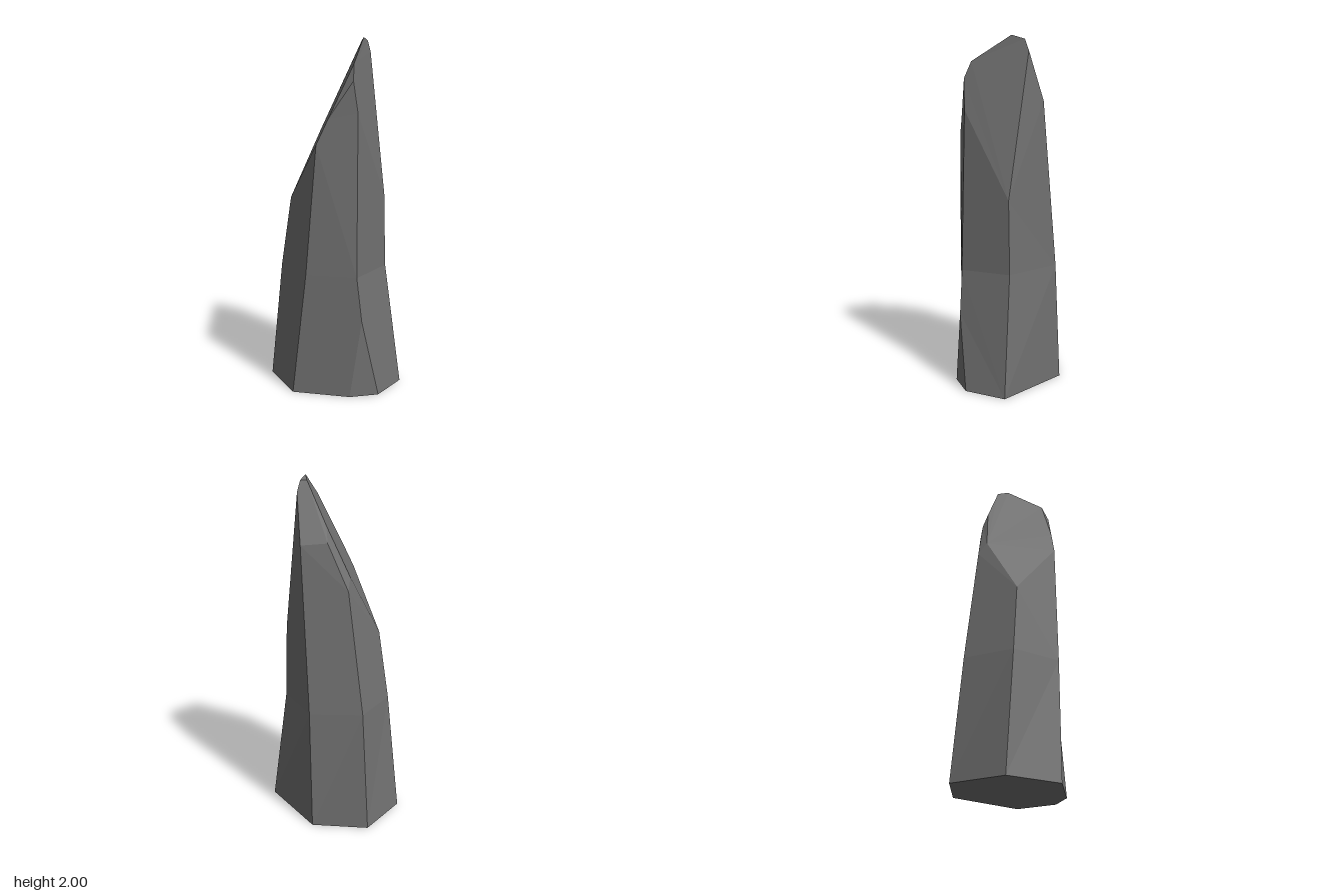
import * as THREE from 'three';

export function createModel() {
  const stone = new THREE.MeshStandardMaterial({ color: 0x707070, flatShading: true });
  stone.name = 'grey stone';

  // Vertical ridges of the pillar, each listed from the base upward
  const left = [[-0.39, 0, -0.025], [-0.315, 0.7, 0.015], [-0.255, 1.1, 0.035]];
  const frontA = [[-0.225, 0, 0.26], [-0.145, 0.7, 0.265], [-0.085, 1.43, 0.26], [-0.02, 1.57, 0.25]];
  const frontB = [[0.265, 0, 0.255], [0.17, 0.44, 0.28], [0.14, 0.69, 0.265],
    [0.14, 1.6, 0.24], [0.115, 1.77, 0.24], [0.115, 1.86, 0.2]];
  const right = [[0.385, 0, 0.04], [0.29, 0.7, 0.005], [0.28, 1.12, 0.01],
    [0.19, 1.92, -0.105], [0.175, 1.98, -0.085], [0.155, 2, -0.015]];
  const backB = [[0.1, 0, -0.31], [0.115, 0.7, -0.275], [0.165, 1.65, -0.19]];
  const backA = [[-0.225, 0, -0.31], [-0.185, 0.7, -0.255], [-0.095, 1.4, -0.19], [-0.1, 1.47, -0.14]];

  // Extra corners: front base corner and the chipped back rim
  const frontFoot = [0.105, 0, 0.305];
  const chipLow = [0.02, 1.66, -0.17];
  const chipHigh = [0.03, 1.75, -0.14];
  const tip = [0.14, 1.98, -0.08];

  const positions = [];
  const tri = (a, b, c) => positions.push(...a, ...b, ...c);

  // Fill between two ridges (a on the left, b on the right, seen from outside)
  const strip = (a, b) => {
    let i = 0, j = 0;
    while (i < a.length - 1 || j < b.length - 1) {
      const nextA = i < a.length - 1 ? a[i + 1][1] : Infinity;
      const nextB = j < b.length - 1 ? b[j + 1][1] : Infinity;
      if (nextA < nextB) {
        tri(a[i], b[j], a[i + 1]);
        i++;
      } else {
        tri(a[i], b[j], b[j + 1]);
        j++;
      }
    }
  };
  const fan = (p) => {
    for (let i = 1; i < p.length - 1; i++) tri(p[0], p[i], p[i + 1]);
  };

  // Sides
  strip(left, frontA);
  strip(frontA, [frontFoot, ...frontB.slice(1)]);
  strip([frontFoot], frontB.slice(0, 2));
  strip(frontB, right);
  strip(right.slice(0, 4), backB);
  strip([...backB, right[3], right[4]], [...backA.slice(0, 3), chipLow, tip]);
  strip([chipLow, tip], [backA[2], backA[3], chipHigh]);
  strip(backA, left);

  // Slanted top, tip facet and base
  fan([backA[3], left[2], frontA[2], frontA[3], frontB[5], right[5], tip, chipHigh]);
  fan([tip, right[5], right[4]]);
  fan([left[0], frontA[0], frontFoot, frontB[0], right[0], backB[0], backA[0]].reverse());

  const geometry = new THREE.BufferGeometry();
  geometry.setAttribute('position', new THREE.Float32BufferAttribute(positions, 3));
  geometry.computeVertexNormals();

  const pillar = new THREE.Mesh(geometry, stone);
  pillar.name = 'standingStone';
  const group = new THREE.Group();
  group.name = 'rockPillar';
  group.add(pillar);
  return group;
}
